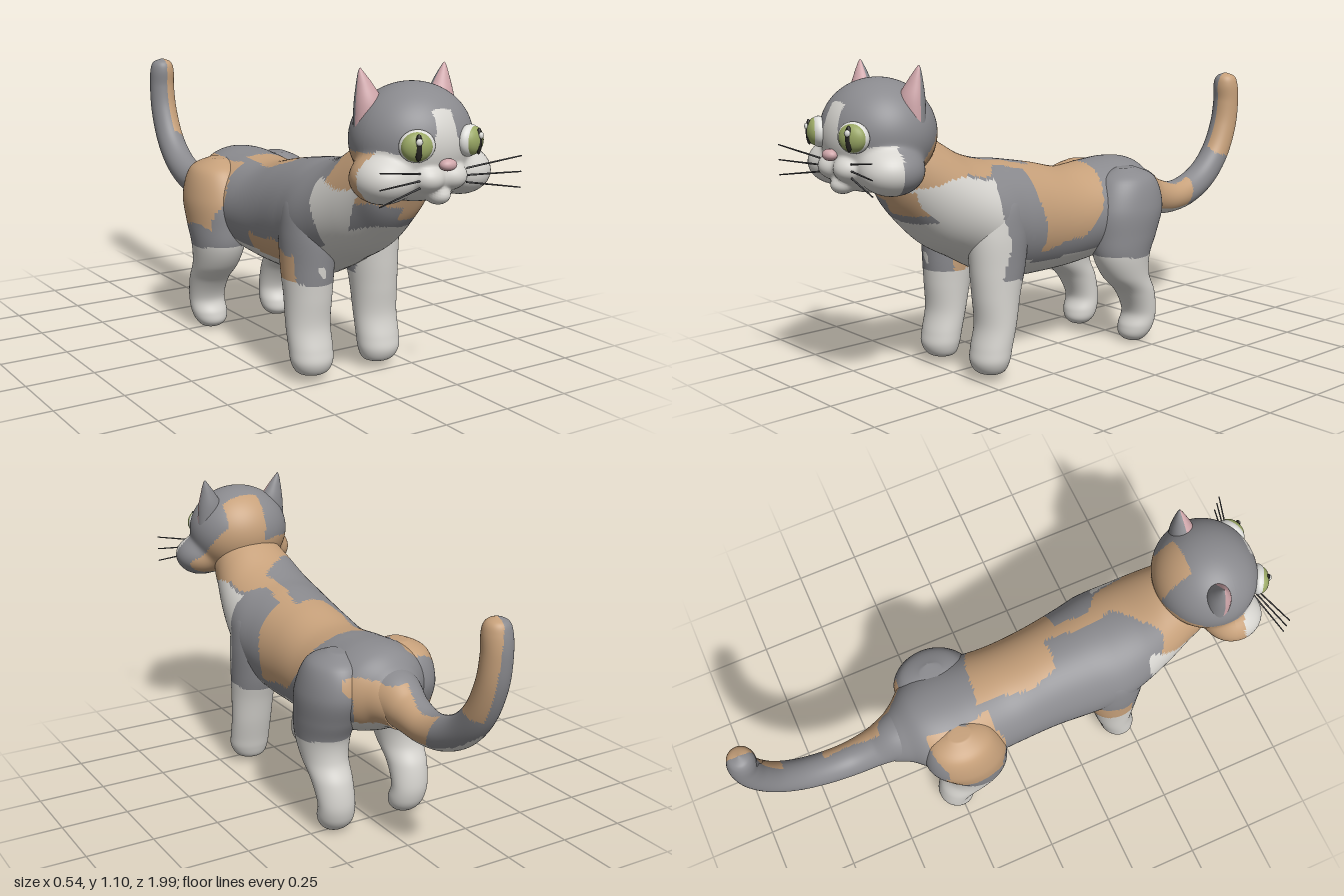
import * as THREE from 'three';

const mat = (name, color) => Object.assign(new THREE.MeshStandardMaterial({ color }), { name });

// Catmull-Rom interpolation of a table of rows
function sampleRows(rows, steps) {
  const out = [], n = rows.length - 1;
  for (let i = 0; i <= n * steps; i++) {
    const k = Math.min(Math.floor(i / steps), n - 1), t = i / steps - k;
    const [a, b, c, d] = [k - 1, k, k + 1, k + 2].map(j => rows[Math.min(Math.max(j, 0), n)]);
    out.push(b.map((_, j) => b[j] + 0.5 * t * (c[j] - a[j] + t * (2 * a[j] - 5 * b[j] + 4 * c[j] - d[j]
      + t * (3 * (b[j] - c[j]) + d[j] - a[j])))));
  }
  return out;
}

// Loft of ellipses; row = [x, y, z, half width in x, other half width]; axis fixes the second direction
function loft(rows, steps, sides, axis) {
  const r = sampleRows(rows, steps), pos = [], index = [], X = new THREE.Vector3(1, 0, 0);
  const at = i => new THREE.Vector3(...r[Math.min(Math.max(i, 0), r.length - 1)].slice(0, 3));
  r.forEach(([x, y, z, rx, rv], i) => {
    const v = axis || at(i + 1).sub(at(i - 1)).setX(0).normalize().cross(X);
    for (let j = 0; j < sides; j++) {
      const a = j / sides * Math.PI * 2, s = Math.sin(a) * Math.max(rv, 0.001);
      pos.push(x + Math.cos(a) * Math.max(rx, 0.001), y + v.y * s, z + v.z * s);
      const p = i * sides + j, q = i * sides + (j + 1) % sides;
      if (i < r.length - 1) index.push(p, q, p + sides, q, q + sides, p + sides);
    }
  });
  const last = (r.length - 1) * sides;
  for (let j = 1; j < sides - 1; j++) index.push(0, j + 1, j, last, last + j, last + j + 1);
  const g = new THREE.BufferGeometry();
  g.setAttribute('position', new THREE.Float32BufferAttribute(pos, 3));
  g.setIndex(index);
  g.computeVertexNormals();
  return g;
}

// Sort faces into one group per coat colour; rule(x, y, z, normal) returns a colour number
function paint(g, rule) {
  const p = g.attributes.position, sets = [[], [], [], []], idx = g.index.array;
  const t = new THREE.Triangle(), n = new THREE.Vector3(), m = new THREE.Vector3();
  for (let i = 0; i < idx.length; i += 3) {
    t.setFromAttributeAndIndices(p, idx[i], idx[i + 1], idx[i + 2]);
    t.getNormal(n); t.getMidpoint(m);
    sets[rule(m.x, m.y, m.z, n)].push(idx[i], idx[i + 1], idx[i + 2]);
  }
  g.setIndex(sets.flat());
  let start = 0;
  sets.forEach((s, k) => { if (s.length) g.addGroup(start, s.length, k); start += s.length; });
  return g;
}

const GRAY = 0, ORANGE = 1, WHITE = 2, PINK = 3;

// Calico pattern of body, legs and tail
function coat(px, py, pz, n) {
  const x = px + 0.012 * Math.sin(21 * pz + 9 * py), y = py + 0.012 * Math.sin(26 * pz + 14 * px);
  const z = pz + 0.014 * Math.sin(24 * py + 11 * px);
  if (z < -0.4) { // tail
    if (n.y < -0.65 && z > -0.9) return WHITE;
    if (z < -0.84 && y > 0.64) return x > 0.012 ? ORANGE : GRAY;
    return x > 0.015 && z > -0.68 && y < 0.61 ? ORANGE : GRAY;
  }
  if (py < 0.355 + (y - py) * 0.5 || (n.y < -0.6 && y < 0.52)) return WHITE;
  if (z > 0.6 && Math.abs(x) < 0.13 && y > 0.575 && y < 0.7 && n.z > 0.2) // bib
    return x > 0 && y > 0.61 ? ORANGE : y < 0.66 ? GRAY : ORANGE;
  if (z > (x > 0 ? 0.43 : 0.52) && y < 0.715) return WHITE; // chest
  if (z > 0.56) return ORANGE; // neck
  if (x < 0) {
    if (x < -0.1 && z > -0.32 && z < -0.08 && y > 0.43) return ORANGE; // haunch
    if (z > 0.1 && z < 0.46 && y < 0.46 && x < -0.05) return ORANGE; // flank
  }
  if (x > 0 && z < -0.35 && y < 0.6) return ORANGE;
  const edge = z < 0.18 ? -0.07 : z < 0.45 ? 0.04 : 0.04 - (z - 0.45) * 1.3;
  const low = z < 0.24 ? 0.44 + Math.max(0, 0.05 - z) * 1.3 : 0.725;
  return z > -0.12 && x > edge && y > low ? ORANGE : GRAY; // back
}

// Pattern of the head
function headCoat(x, py, pz) {
  const y = py + 0.008 * Math.sin(30 * x + 12 * pz), z = pz + 0.01 * Math.sin(28 * py + 9 * x);
  if (z > 0.85 && y < 0.86) return WHITE;
  if (z > 0.85 && y < 0.98 && Math.abs(x) < 0.035 + Math.max(0, 0.92 - y) * 0.5) return WHITE;
  if (x < -0.15 && z < 0.86 && y < 0.85) return ORANGE;
  if (z < 0.77 - Math.max(0, y - 0.75) * 0.75 && y < (x > -0.03 ? 0.97 : 0.86)) return ORANGE;
  return x > -0.04 && x < 0.11 && z < 0.69 && y > 0.9 ? ORANGE : GRAY;
}

// Head: a sphere pulled onto a soft blend of ellipsoids [centre, radii]
function headGeometry() {
  const blobs = [[0, 0.88, 0.785, 0.2, 0.177, 0.183], [0, 0.77, 0.82, 0.16, 0.078, 0.135], [0, 0.725, 0.925, 0.038, 0.03, 0.04]];
  for (const s of [-1, 1]) blobs.push([s * 0.15, 0.775, 0.84, 0.097, 0.078, 0.105], [s * 0.045, 0.78, 0.93, 0.05, 0.04, 0.048]);
  const field = (x, y, z) => blobs.reduce((sum, [a, b, c, u, v, w]) =>
    sum + Math.exp(6 * (1 - ((x - a) / u) ** 2 - ((y - b) / v) ** 2 - ((z - c) / w) ** 2)), 0);
  const g = new THREE.SphereGeometry(1, 128, 88), p = g.attributes.position;
  for (let i = 0; i < p.count; i++) {
    const [x, y, z] = [p.getX(i), p.getY(i), p.getZ(i)];
    const f = r => field(x * r, 0.84 + y * r, 0.81 + z * r);
    let r = 0.34;
    while (r > 0.05 && f(r) < 1) r -= 0.005;
    let lo = r, hi = r + 0.005;
    for (let k = 0; k < 8; k++) { const m = (lo + hi) / 2; if (f(m) < 1) hi = m; else lo = m; }
    p.setXYZ(i, x * lo, 0.84 + y * lo, 0.81 + z * lo);
  }
  g.computeVertexNormals();
  return g;
}

export function createModel() {
  const cat = new THREE.Group();
  cat.name = 'cat';
  const fur = [mat('gray fur', 0x8a8a8e), mat('orange fur', 0xc6a07a), mat('white fur', 0xd6d4cf), mat('pink skin', 0xcfa6aa)];
  const eyeWhite = mat('eye white', 0xdededa), iris = mat('green iris', 0x9aa865);
  const black = mat('pupil black', 0x24221f), whiskerMat = mat('whisker gray', 0x4a4a4c);
  const add = (name, g, m, parent = cat) => {
    const mesh = new THREE.Mesh(g, m);
    mesh.name = name;
    parent.add(mesh);
    return mesh;
  };
  const ball = (name, m, parent, pos, size) => {
    const b = add(name, new THREE.SphereGeometry(1, 32, 20), m, parent);
    b.position.set(...pos);
    b.scale.set(...size);
  };
  const Y = new THREE.Vector3(0, 1, 0), Z = new THREE.Vector3(0, 0, 1);

  // Body sections: z, top, bottom, half width
  const body = [[-0.46, 0.6, 0.43, 0.08], [-0.4, 0.645, 0.42, 0.115], [-0.34, 0.683, 0.39, 0.165], [-0.26, 0.695, 0.36, 0.2],
    [-0.15, 0.69, 0.335, 0.2], [0, 0.682, 0.315, 0.19], [0.15, 0.715, 0.31, 0.19], [0.3, 0.743, 0.318, 0.205],
    [0.4, 0.757, 0.36, 0.215], [0.5, 0.79, 0.415, 0.2], [0.6, 0.85, 0.47, 0.175], [0.68, 0.89, 0.54, 0.15],
    [0.74, 0.89, 0.61, 0.13], [0.78, 0.86, 0.69, 0.08]]
    .map(([z, top, bottom, w]) => [0, (top + bottom) / 2, z, w, (top - bottom) / 2]);
  add('body', paint(loft(body, 12, 80, Y), coat), fur);

  // Tail, curling upwards
  const tail = [[0, 0.53, -0.36, 0.13, 0.11], [0, 0.53, -0.42, 0.095, 0.1], [0, 0.507, -0.5, 0.073, 0.074], [0, 0.49, -0.6, 0.064, 0.062],
    [0, 0.505, -0.7, 0.06, 0.06], [0, 0.555, -0.8, 0.057, 0.058], [0, 0.64, -0.88, 0.055, 0.055], [0, 0.75, -0.93, 0.053, 0.053],
    [0, 0.85, -0.946, 0.051, 0.051], [0, 0.92, -0.942, 0.049, 0.049], [0, 0.955, -0.94, 0.036, 0.036], [0, 0.97, -0.94, 0.001, 0.001]];
  add('tail', paint(loft(tail, 10, 48), coat), fur);

  // Legs, from hip or shoulder down to the paw
  const front = [[0.13, 0.67, 0.4, 0.02, 0.03], [0.132, 0.62, 0.4, 0.072, 0.09], [0.133, 0.52, 0.4, 0.088, 0.112], [0.134, 0.4, 0.405, 0.088, 0.103],
    [0.137, 0.3, 0.415, 0.083, 0.085], [0.14, 0.2, 0.422, 0.08, 0.07], [0.14, 0.12, 0.44, 0.079, 0.068], [0.14, 0.075, 0.448, 0.076, 0.066],
    [0.138, 0.04, 0.447, 0.06, 0.052], [0.137, 0.027, 0.445, 0.034, 0.03], [0.137, 0.025, 0.445, 0.001, 0.001]];
  const back = [[0.13, 0.67, -0.22, 0.03, 0.04], [0.14, 0.63, -0.22, 0.09, 0.115], [0.15, 0.53, -0.21, 0.111, 0.152], [0.155, 0.43, -0.19, 0.105, 0.138],
    [0.158, 0.35, -0.175, 0.095, 0.117], [0.16, 0.27, -0.195, 0.083, 0.095], [0.16, 0.2, -0.245, 0.075, 0.075], [0.157, 0.12, -0.272, 0.07, 0.06],
    [0.153, 0.065, -0.26, 0.069, 0.064], [0.15, 0.03, -0.25, 0.058, 0.055], [0.15, 0.008, -0.247, 0.034, 0.03], [0.15, 0.004, -0.247, 0.001, 0.001]];
  const ear = [[0.135, 0.91, 0.755, 0.056, 0.045], [0.137, 0.99, 0.752, 0.05, 0.042], [0.15, 1.05, 0.745, 0.028, 0.024],
    [0.161, 1.09, 0.74, 0.009, 0.008], [0.163, 1.102, 0.739, 0.001, 0.001]];

  add('head', paint(headGeometry(), headCoat), fur);
  ball('nose', fur[PINK], cat, [0, 0.824, 0.97], [0.03, 0.019, 0.022]);

  for (const s of [-1, 1]) {
    const side = s > 0 ? 'left' : 'right';
    const mirror = rows => rows.map(([x, ...rest]) => [s * x, ...rest]);
    add(side + 'FrontLeg', paint(loft(mirror(front), 8, 56, Z), coat), fur);
    add(side + 'BackLeg', paint(loft(mirror(back), 8, 56, Z), coat), fur);
    // Ear with pink inside
    const earGeo = loft(mirror(ear), 6, 36, Z.clone().negate());
    add(side + 'Ear', paint(earGeo, (x, y, z, n) => n.z > 0.05 ? PINK : GRAY), fur);

    // Eye with slit pupil
    const eye = new THREE.Group();
    eye.name = side + 'Eye';
    eye.position.set(s * 0.1, 0.886, 0.945);
    eye.rotation.y = s * 0.4;
    cat.add(eye);
    ball('eyeRim', eyeWhite, eye, [0, 0, 0], [0.056, 0.05, 0.03]);
    ball('iris', iris, eye, [s * 0.003, 0, 0.009], [0.049, 0.045, 0.03]);
    ball('pupil', black, eye, [s * 0.003, 0, 0.031], [0.012, 0.041, 0.01]);
    ball('eyeGlint', eyeWhite, eye, [s * 0.003, 0.018, 0.038], [0.01, 0.011, 0.007]);

    // Whiskers
    for (const k of [-1, 0, 1]) {
      const a = new THREE.Vector3(s * 0.09, 0.78 + k * 0.022, 0.95), b = new THREE.Vector3(s * 0.27, 0.78 + k * 0.05, 0.995);
      const w = add(side + 'Whisker', new THREE.CylinderGeometry(0.0022, 0.0032, a.distanceTo(b), 8), whiskerMat);
      w.position.copy(a).lerp(b, 0.5);
      w.quaternion.setFromUnitVectors(Y, b.clone().sub(a).normalize());
    }
  }
  return cat;
}
